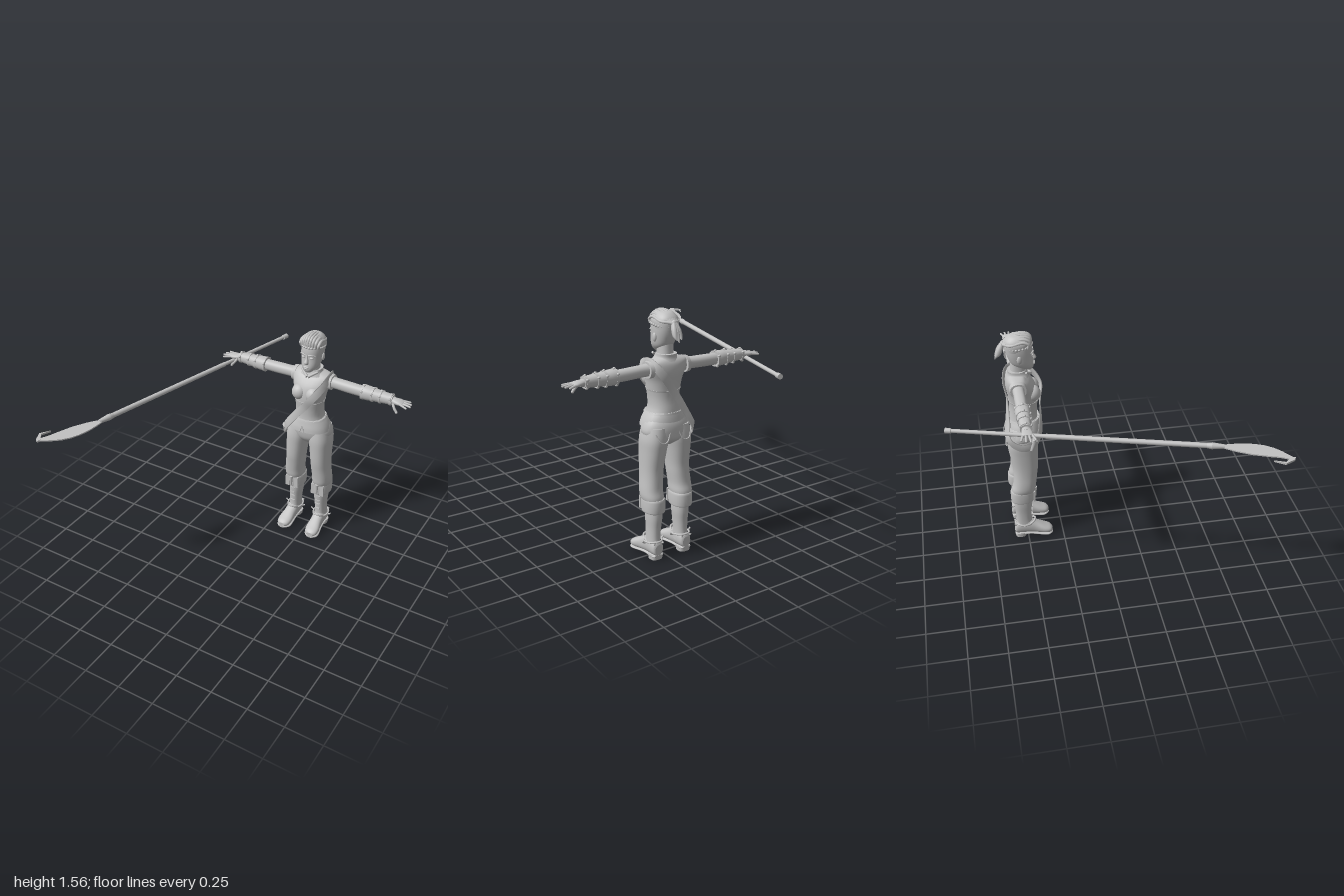
import * as THREE from 'three';

const gray = new THREE.MeshStandardMaterial({ color: 0xc2c2c2 });
gray.name = 'clay gray';
const V = (x, y, z) => new THREE.Vector3(x, y, z);

// Skin over closed rings given as [list of points], with sharp end caps
function skin(rings, closed = false) {
  const n = rings[0].length, pos = [], idx = [];
  rings.forEach(r => r.forEach(p => pos.push(p.x, p.y, p.z)));
  const last = closed ? rings.length : rings.length - 1;
  for (let j = 0; j < last; j++) for (let i = 0; i < n; i++) {
    const k = (i + 1) % n, u = ((j + 1) % rings.length) * n, d = j * n;
    idx.push(d + i, u + i, d + k, d + k, u + i, u + k);
  }
  if (!closed) [rings[0], rings[rings.length - 1]].forEach((r, top) => {
    const base = pos.length / 3, c = V(0, 0, 0);
    r.forEach(p => { pos.push(p.x, p.y, p.z); c.addScaledVector(p, 1 / n); });
    pos.push(c.x, c.y, c.z);
    for (let i = 0; i < n; i++) {
      const k = (i + 1) % n;
      idx.push(base + n, base + (top ? k : i), base + (top ? i : k));
    }
  });
  const g = new THREE.BufferGeometry();
  g.setAttribute('position', new THREE.Float32BufferAttribute(pos, 3));
  g.setIndex(idx);
  g.computeVertexNormals();
  return g;
}

// Body loft: rows are [y, centre x, half width, front z, back z]
function loft(rows, sub = 4, seg = 28, power = 0.88) {
  const rings = [], at = i => rows[Math.min(rows.length - 1, Math.max(0, i))];
  const sp = v => Math.sign(v) * Math.abs(v) ** power;
  for (let j = 0; j < rows.length; j++) for (let s = 0; s < (j < rows.length - 1 ? sub : 1); s++) {
    const t = s / sub;
    const [y, cx, hw, zf, zb] = rows[j].map((b, k) => {
      const a = at(j - 1)[k], c = at(j + 1)[k], d = at(j + 2)[k];
      return 0.5 * (2 * b + (c - a) * t + (2 * a - 5 * b + 4 * c - d) * t * t + (3 * b - a - 3 * c + d) * t ** 3);
    });
    rings.push(Array.from({ length: seg }, (_, i) => {
      const a = i / seg * Math.PI * 2;
      return V(cx + hw * sp(Math.cos(a)), y, (zf + zb) / 2 + (zf - zb) / 2 * sp(Math.sin(a)));
    }));
  }
  return skin(rings);
}
// Arm loft: rows are [x, y, half height, front z, back z]
const armLoft = (rows, sub) => loft(rows.map(([x, y, ...r]) => [x, -y, ...r]), sub).rotateZ(-Math.PI / 2);
// Foot loft: rows are [z, centre x, half width, bottom y, top y]
const footLoft = (rows, sub) => loft(rows.map(([z, x, w, b, t]) => [z, x, w, -b, -t]), sub).rotateX(Math.PI / 2);

const ball = (x, y, z, rx, ry = rx, rz = rx) => new THREE.SphereGeometry(1, 16, 12).scale(rx, ry, rz).translate(x, y, z);
const tube = (pts, r, closed = false) => new THREE.TubeGeometry(new THREE.CatmullRomCurve3(pts, closed), 24, r, 8, closed);
const box = (w, h, d, x, y, z) => new THREE.BoxGeometry(w, h, d).translate(x, y, z);
function rod(a, b, r0, r1 = r0, seg = 12) {
  const d = b.clone().sub(a), g = new THREE.CylinderGeometry(r1, r0, d.length(), seg);
  g.applyQuaternion(new THREE.Quaternion().setFromUnitVectors(V(0, 1, 0), d.normalize()));
  const m = a.clone().add(b).multiplyScalar(0.5);
  return g.translate(m.x, m.y, m.z);
}
function mirror(g) {
  const m = g.clone().scale(-1, 1, 1), ix = m.index.array;
  for (let i = 0; i < ix.length; i += 3) [ix[i], ix[i + 1]] = [ix[i + 1], ix[i]];
  return m;
}
// Flat closed band around the torso
function strapBand(pts, width, thick) {
  const curve = new THREE.CatmullRomCurve3(pts, true), n = 72, rings = [];
  for (let i = 0; i < n; i++) {
    const p = curve.getPointAt(i / n), t = curve.getTangentAt(i / n);
    const out = V(p.x * 0.6, 0, p.z + 0.485);
    out.addScaledVector(t, -out.dot(t)).normalize();
    const w = t.clone().cross(out);
    rings.push([[-1, 0], [1, 0], [1, 1], [-1, 1]].map(([a, b]) =>
      p.clone().addScaledVector(w, a * width / 2).addScaledVector(out, b * thick)));
  }
  return skin(rings, true);
}
function plate(points, thick, y) {
  const s = new THREE.Shape(points.map(([x, z]) => new THREE.Vector2(x, z)));
  return new THREE.ExtrudeGeometry(s, { depth: thick, bevelEnabled: false }).rotateX(Math.PI / 2).translate(0, y, 0);
}

export function createModel() {
  const model = new THREE.Group(), figure = new THREE.Group(), spear = new THREE.Group();
  figure.name = 'figure'; spear.name = 'spear';
  figure.position.x = 0.22;
  model.add(figure, spear);
  const add = (parent, name, g) => {
    const m = new THREE.Mesh(g, gray);
    m.name = name;
    parent.add(m);
  };
  const part = (name, g) => add(figure, name, g);
  const pair = (name, g) => { part(name + 'Left', g); part(name + 'Right', mirror(g)); };

  // Head and face
  part('head', loft([[1.3, 0, .022, -.405, -.455], [1.32, 0, .043, -.394, -.5], [1.35, 0, .061, -.393, -.54],
    [1.4, 0, .07, -.399, -.562], [1.45, 0, .074, -.399, -.572], [1.49, 0, .071, -.407, -.57],
    [1.525, 0, .055, -.43, -.55], [1.54, 0, .025, -.455, -.52]]));
  part('neck', loft([[1.22, 0, .06, -.44, -.565], [1.28, 0, .048, -.445, -.55], [1.36, 0, .046, -.44, -.545]]));
  part('nose', loft([[1.368, 0, .014, -.382, -.41], [1.38, 0, .015, -.374, -.41], [1.405, 0, .008, -.388, -.41],
    [1.43, 0, .006, -.395, -.41]], 3, 12));
  part('upperLip', ball(0, 1.346, -.391, .02, .006, .008));
  part('lowerLip', ball(0, 1.336, -.391, .016, .006, .008));
  pair('eye', ball(.03, 1.412, -.402, .014, .007, .008));
  pair('brow', tube([V(.01, 1.43, -.394), V(.03, 1.436, -.396), V(.052, 1.428, -.412)], .005));
  pair('ear', ball(.073, 1.4, -.49, .01, .027, .017));

  // Swept-back hair, braided band and ponytail
  part('hairCap', loft([[1.45, 0, .072, -.43, -.578], [1.49, 0, .077, -.402, -.58], [1.52, 0, .068, -.402, -.572],
    [1.545, 0, .045, -.42, -.545], [1.552, 0, .02, -.44, -.52]]));
  for (let i = -4; i <= 4; i++) {
    const u = i / 4, drop = u * u * .035;
    part('hairStrand', tube([V(u * .062, 1.475, -.408 - drop * .7), V(u * .066, 1.535 - drop, -.412 - drop * .4),
      V(u * .066, 1.552 - drop, -.46), V(u * .06, 1.535 - drop, -.54), V(u * .02, 1.495, -.585)], .0095));
  }
  for (let i = 0; i < 26; i++) {
    const a = i / 26 * Math.PI * 2;
    part('braidBead', ball(.074 * Math.cos(a), 1.474 + .008 * Math.sin(a), -.486 + .086 * Math.sin(a), .0095, .009, .0095));
  }
  part('hairTie', ball(0, 1.492, -.588, .02, .02, .014));
  for (const u of [-1, 0, 1]) part('ponytail', loft([[1.385 + .015 * Math.abs(u), u * .016, .003, -.636, -.642],
    [1.42, u * .018, .012, -.605, -.638], [1.46, u * .013, .016, -.585, -.625], [1.5, u * .006, .01, -.575, -.6]], 4, 10));

  // Torso, vest and collar
  part('torso', loft([[.9, 0, .122, -.38, -.585], [.96, 0, .097, -.387, -.578], [1.02, 0, .094, -.385, -.57],
    [1.08, 0, .102, -.378, -.572], [1.14, 0, .112, -.38, -.58], [1.19, 0, .13, -.395, -.587],
    [1.235, 0, .142, -.425, -.583], [1.262, 0, .13, -.45, -.572], [1.282, 0, .06, -.46, -.555]]));
  pair('bust', ball(.052, 1.138, -.413, .053, .056, .052));
  part('underbustSeam', loft([[1.071, 0, .101, -.374, -.574], [1.081, 0, .104, -.373, -.576]], 1));
  part('collar', loft([[1.258, 0, .085, -.428, -.575], [1.28, 0, .066, -.436, -.567], [1.3, 0, .062, -.445, -.568]], 3));
  pair('collarFlap', rod(V(.004, 1.262, -.418), V(.06, 1.298, -.45), .011, .007, 8));
  pair('vestArmhole', armLoft([[.118, 1.218, .053, -.455, -.572], [.146, 1.215, .05, -.46, -.566]], 1));
  part('vestHem', loft([[.857, 0, .152, -.363, -.598], [.885, 0, .143, -.366, -.595], [.915, 0, .128, -.373, -.59],
    [.945, 0, .108, -.38, -.583]], 3));
  part('waistSeam', loft([[.932, 0, .12, -.37, -.588], [.943, 0, .113, -.373, -.586]], 1));
  pair('hemNotch', rod(V(.014, .858, -.36), V(.003, .9, -.368), .004, .003, 6));
  part('shoulderStrap', strapBand([V(.122, 1.262, -.5), V(.118, 1.22, -.415), V(.07, 1.14, -.355), V(.005, 1.05, -.368),
    V(-.065, .96, -.375), V(-.128, .865, -.392), V(-.16, .8, -.44), V(-.165, .785, -.51), V(-.14, .84, -.59),
    V(-.075, .96, -.585), V(0, 1.08, -.577), V(.07, 1.18, -.587), V(.115, 1.243, -.56)], .05, .009));
  part('strapEnd', rod(V(-.155, .835, -.425), V(-.17, .762, -.45), .024, .012, 8));

  // Trousers with rolled cuffs
  part('trouserSeat', loft([[.735, 0, .045, -.44, -.55], [.775, 0, .125, -.41, -.6], [.82, 0, .16, -.398, -.605],
    [.87, 0, .15, -.395, -.6], [.91, 0, .125, -.4, -.585]]));
  pair('trouserLeg', loft([[.37, .105, .055, -.45, -.595], [.41, .107, .066, -.432, -.596], [.46, .107, .066, -.425, -.583],
    [.53, .1, .066, -.415, -.578], [.6, .096, .067, -.405, -.58], [.7, .09, .073, -.4, -.595],
    [.78, .084, .079, -.399, -.604], [.86, .077, .07, -.41, -.595]]));
  pair('trouserCuff', loft([[.312, .103, .062, -.448, -.6], [.32, .103, .066, -.442, -.606], [.385, .103, .067, -.438, -.606],
    [.4, .103, .062, -.442, -.6]], 2));
  for (const dx of [-.034, .034]) pair('cuffFlap', box(.03, .085, .012, .103 + dx, .355, -.447).rotateY(0));
  pair('cuffTab', rod(V(.103, .33, -.435), V(.103, .405, -.435), .006, .014, 8));
  pair('hipPocket', tube([V(.03, .83, -.6), V(.06, .775, -.61), V(.1, .775, -.61), V(.13, .83, -.59)], .004));

  // Boots with laces, soles and heels
  pair('bootShaft', loft([[.07, .105, .042, -.45, -.585], [.13, .104, .039, -.468, -.578], [.2, .102, .041, -.468, -.58],
    [.27, .1, .047, -.462, -.587], [.34, .1, .047, -.46, -.587]]));
  for (const y of [.175, .215, .245, .285]) pair('bootLace', box(.035, .008, .012, .102, y, -.466));
  pair('bootFoot', footLoft([[-.592, .106, .026, .03, .1], [-.575, .106, .039, .025, .125], [-.5, .106, .043, .02, .14],
    [-.44, .108, .044, .015, .11], [-.38, .112, .05, .012, .078], [-.343, .114, .042, .012, .06], [-.326, .115, .022, .016, .045]]));
  pair('bootSole', footLoft([[-.592, .106, .03, .018, .034], [-.57, .106, .042, .016, .036], [-.48, .107, .04, .012, .034],
    [-.38, .112, .052, .002, .022], [-.345, .114, .045, .002, .022], [-.324, .115, .022, .004, .02]], 3));
  pair('bootHeel', loft([[0, .106, .04, -.515, -.59], [.032, .106, .042, -.51, -.593]], 1, 28, .7));

  // Spurs around the ankles
  const ankle = (a, r, y) => V(.105 + Math.cos(a) * r, y, -.525 + Math.sin(a) * r * 1.15);
  pair('spurBand', tube(Array.from({ length: 12 }, (_, i) => ankle(i / 6 * Math.PI, .054, .112 - .006 * Math.sin(i / 6 * Math.PI))), .006, true));
  for (let i = 0; i < 6; i++) {
    const a = i / 3 * Math.PI;
    if (i % 3 === 0 || i > 3) pair('spurPoint', tube([ankle(a, .052, .11), ankle(a, .065, .108), ankle(a, i % 3 ? .067 : .08, .12)], .005));
  }
  pair('instepStrap', tube([V(.065, .1, -.5), V(.08, .125, -.455), V(.105, .132, -.445), V(.13, .125, -.455), V(.146, .1, -.5)], .007));

  // Arms with bracers, bands and studs
  pair('arm', armLoft([[.09, 1.215, .045, -.47, -.56], [.16, 1.215, .037, -.475, -.55], [.26, 1.212, .037, -.475, -.55],
    [.36, 1.21, .036, -.478, -.548], [.5, 1.208, .03, -.483, -.543], [.6, 1.208, .02, -.487, -.538]]));
  pair('bracer', armLoft([[.362, 1.21, .046, -.463, -.561], [.4, 1.21, .047, -.464, -.561], [.46, 1.21, .041, -.47, -.555],
    [.53, 1.21, .036, -.476, -.55], [.575, 1.21, .033, -.479, -.546]]));
  [[.36, .05], [.43, .048], [.485, .044], [.555, .038]].forEach(([x, r]) => {
    pair('bracerBand', armLoft([[x, 1.21, r, -.512 + r, -.512 - r], [x + .014, 1.21, r, -.512 + r, -.512 - r]], 1));
    for (const a of [.5, 1.55, 2.6, 4.2]) pair('bracerStud',
      ball(x + .007, 1.21 + Math.sin(a) * r, -.512 + Math.cos(a) * r, .01, .008, .009));
  });

  // Open hands
  pair('palm', armLoft([[.57, 1.208, .02, -.487, -.537], [.595, 1.209, .018, -.479, -.543], [.625, 1.208, .015, -.476, -.548],
    [.645, 1.206, .01, -.48, -.546]]));
  [[-.484, -.466, .688], [-.502, -.497, .704], [-.52, -.525, .7], [-.538, -.553, .685]].forEach(([z0, z1, x]) => {
    const knuckle = V(.632, 1.208, z0), tip = V(x - .006, 1.202, z1);
    pair('finger', rod(knuckle, tip, .0085, .0065, 8));
    pair('fingertip', ball(tip.x, tip.y, tip.z, .0067));
  });
  pair('thumb', tube([V(.585, 1.2, -.488), V(.6, 1.178, -.474), V(.618, 1.156, -.47)], .009));
  pair('thumbTip', ball(.62, 1.152, -.47, .009));

  // Spear held by the right hand
  const butt = V(-.25, 1.19, -.995), neck = V(-.695, 1.18, .61);
  const at = t => butt.clone().lerp(neck, t);
  add(spear, 'spearShaft', rod(at(0), at(.97), .0125, .0135, 14));
  add(spear, 'spearGrip', rod(at(.37), at(.95), .0155, .0165, 14));
  add(spear, 'spearButtCap', rod(at(0), at(.022), .017, .017, 14));
  add(spear, 'spearSocket', rod(at(.945), at(.965), .016, .021, 14));
  add(spear, 'spearSocketTip', rod(at(.965), at(1.01), .021, .013, 14));
  add(spear, 'spearBlade', plate([[-.682, .615], [-.683, .67], [-.69, .74], [-.708, .808], [-.733, .862], [-.765, .905], [-.805, .94],
    [-.88, .99], [-.895, .975], [-.862, .915], [-.844, .862], [-.807, .767], [-.76, .683], [-.71, .615]], .008, 1.182));
  add(spear, 'spearHook', plate([[-.88, 1], [-.9, .99], [-.93, .926], [-.888, .865], [-.915, .928], [-.875, .975]], .012, 1.183));
  return model;
}
